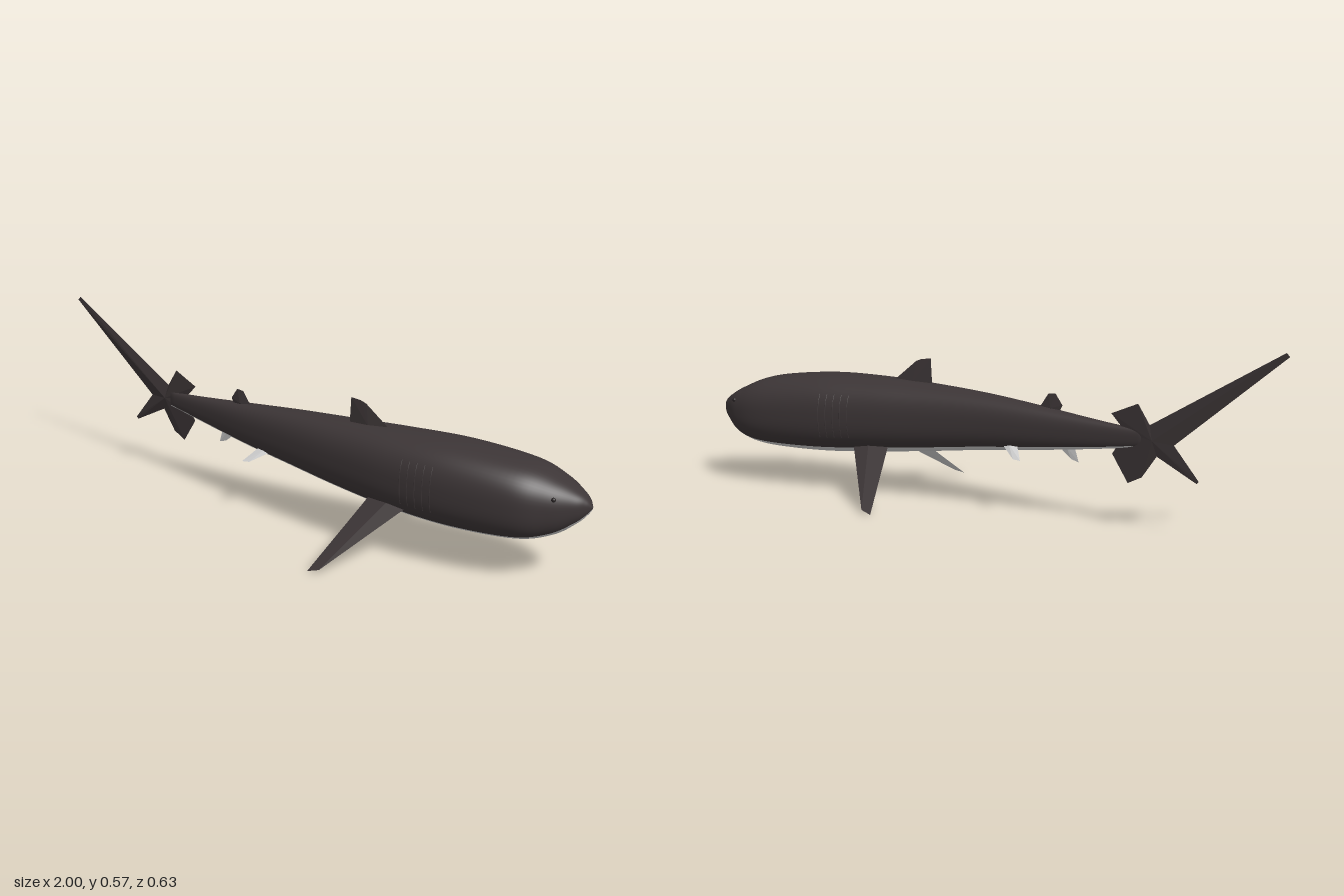
import * as THREE from 'three';

const material = (name, color, side = THREE.FrontSide) => {
  const m = new THREE.MeshStandardMaterial({ color, side });
  m.name = name;
  return m;
};
const dark = material('charcoal skin', 0x3c3536);
const light = material('pale belly', 0xcfcfcf);
const black = material('dark slits', 0x282324);

// Body stations: x, top, bottom, right side z, left side z
const stations = [
  [-0.56, 0.305, 0.255, -0.085, -0.068],
  [-0.4, 0.32, 0.23, -0.086, -0.036],
  [-0.2, 0.342, 0.203, -0.088, 0.01],
  [0, 0.362, 0.18, -0.093, 0.05],
  [0.2, 0.375, 0.155, -0.108, 0.085],
  [0.4, 0.384, 0.134, -0.132, 0.111],
  [0.6, 0.384, 0.121, -0.156, 0.114],
  [0.8, 0.362, 0.126, -0.166, 0.088],
  [0.9, 0.325, 0.152, -0.148, 0.036],
  [0.96, 0.292, 0.195, -0.112, -0.012],
  [0.985, 0.272, 0.222, -0.09, -0.04],
  [1, 0.25, 0.246, -0.067, -0.063],
];
const last = stations.length - 1;
const curveOf = (a, b) => new THREE.CatmullRomCurve3(
  stations.map((s) => new THREE.Vector3(s[0], s[a], s[b])), false, 'catmullrom', 0.5);
const heights = curveOf(1, 2);
const widths = curveOf(3, 4);

// Point on the skin: station number and angle, from the belly (0) round the left side
function skin(station, angle) {
  const h = heights.getPoint(station / last);
  const w = widths.getPoint(station / last);
  const soft = (v) => Math.sign(v) * Math.abs(v) ** 0.8;
  return new THREE.Vector3(
    h.x,
    (h.y + h.z) / 2 - soft(Math.cos(angle)) * (h.y - h.z) / 2,
    (w.y + w.z) / 2 + soft(Math.sin(angle)) * (w.z - w.y) / 2);
}

// Body loft with the belly and the back as two material groups
function makeBody() {
  const rows = 88, bellySteps = 14, backSteps = 42, around = bellySteps + backSteps;
  const edge = THREE.MathUtils.degToRad(41);
  const angleAt = (j) => (j <= bellySteps
    ? -edge + (2 * edge * j) / bellySteps
    : edge + ((2 * Math.PI - 2 * edge) * (j - bellySteps)) / backSteps);
  const points = [];
  for (let i = 0; i <= rows; i++) {
    for (let j = 0; j < around; j++) points.push(skin((i / rows) * last, angleAt(j)));
  }
  const belly = [], back = [];
  for (let i = 0; i < rows; i++) {
    for (let j = 0; j < around; j++) {
      const k = (j + 1) % around;
      const a = i * around + j, b = i * around + k;
      (j < bellySteps ? belly : back).push(a, a + around, b, b, a + around, b + around);
    }
  }
  // Tail end cap
  const centre = points.length;
  points.push(new THREE.Vector3(-0.562, 0.28, -0.0765));
  for (let j = 0; j < around; j++) back.push(centre, j, (j + 1) % around);

  const geometry = new THREE.BufferGeometry().setFromPoints(points);
  geometry.setIndex([...belly, ...back]);
  geometry.addGroup(0, belly.length, 0);
  geometry.addGroup(belly.length, back.length, 1);
  geometry.computeVertexNormals();
  const mesh = new THREE.Mesh(geometry, [light, dark]);
  mesh.name = 'body';
  return mesh;
}

// Fin: sharp outline, thickest at its core; the upward face may differ from the lower one
function makeFin(name, outline, core, thickness, upper, lower = upper) {
  const pts = outline.map((p) => new THREE.Vector3(...p));
  const c = new THREE.Vector3(...core);
  const normal = new THREE.Vector3();
  pts.forEach((p, i) => {
    const q = pts[(i + 1) % pts.length];
    normal.add(p.clone().sub(c).cross(q.clone().sub(c)));
  });
  normal.normalize();
  const front = c.clone().addScaledVector(normal, thickness / 2);
  const rear = c.clone().addScaledVector(normal, -thickness / 2);
  const a = [], b = [];
  pts.forEach((p, i) => {
    const q = pts[(i + 1) % pts.length];
    a.push(front, p, q);
    b.push(rear, q, p);
  });
  const geometry = new THREE.BufferGeometry().setFromPoints([...a, ...b]);
  geometry.addGroup(0, a.length, 0);
  geometry.addGroup(a.length, b.length, 1);
  geometry.computeVertexNormals();
  const mesh = new THREE.Mesh(geometry, normal.y >= 0 ? [upper, lower] : [lower, upper]);
  mesh.name = name;
  return mesh;
}

export function createModel() {
  const model = new THREE.Group();
  model.name = 'shark';
  model.add(makeBody());

  // Fins on the back
  model.add(makeFin('dorsalFin',
    [[0.36, 0.365, -0.005], [0.34, 0.386, -0.004], [0.27, 0.445, 0], [0.25, 0.453, 0], [0.215, 0.457, 0],
      [0.21, 0.36, 0]],
    [0.28, 0.375, -0.003], 0.016, dark));
  model.add(makeFin('rearDorsalFin',
    [[-0.19, 0.33, -0.036], [-0.225, 0.383, -0.037], [-0.25, 0.386, -0.038], [-0.275, 0.35, -0.04],
      [-0.26, 0.32, -0.04]],
    [-0.235, 0.34, -0.037], 0.012, dark));

  // Paired fins
  for (const s of [1, -1]) {
    const side = s > 0 ? 'left' : 'right';
    model.add(makeFin(side + 'PectoralFin',
      [[0.49, 0.192, s * 0.06], [0.455, 0.163, s * 0.1], [0.297, 0.01, s * 0.308], [0.26, 0, s * 0.316],
        [0.325, 0.163, s * 0.1], [0.335, 0.192, s * 0.06]],
      [0.4, 0.17, s * 0.09], 0.016, dark, light));
    const z = (d) => -0.03 + s * d;
    model.add(makeFin(side + 'PelvicFin',
      [[-0.07, 0.22, z(0.03)], [-0.14, 0.18, z(0.083)], [-0.166, 0.178, z(0.086)], [-0.13, 0.22, z(0.035)]],
      [-0.105, 0.215, z(0.04)], 0.008, light));
  }
  model.add(makeFin('analFin',
    [[-0.26, 0.225, -0.042], [-0.31, 0.186, -0.05], [-0.337, 0.178, -0.052], [-0.32, 0.235, -0.052]],
    [-0.295, 0.225, -0.047], 0.008, light));

  // Tail fin: long upper lobe, short lower lobe and two forward flaps
  const tail = [[-0.99, 0.574], [-0.58, 0.325], [-0.54, 0.386], [-0.45, 0.347], [-0.5, 0.295],
    [-0.455, 0.222], [-0.51, 0.138], [-0.557, 0.162], [-0.605, 0.232], [-0.735, 0.165],
    [-0.742, 0.172], [-0.66, 0.272], [-1, 0.563]];
  const tailZ = (x) => -0.108 + 0.17 * (x + 1) ** 2 * 0.75;
  model.add(makeFin('tailFin', tail.map(([x, y]) => [x, y, Math.min(tailZ(x), -0.07)]),
    [-0.59, 0.278, -0.083], 0.016, dark));

  // Gill slits and eyes on both sides
  for (const s of [1, -1]) {
    const side = s > 0 ? 'left' : 'right';
    for (let i = 0; i < 5; i++) {
      const path = [65, 80, 95, 110, 122].map(
        (d) => skin(5.28 + i * 0.13, s * THREE.MathUtils.degToRad(d)));
      const gill = new THREE.Mesh(
        new THREE.TubeGeometry(new THREE.CatmullRomCurve3(path), 16, 0.0015, 6), dark);
      gill.name = side + 'GillSlit' + (i + 1);
      model.add(gill);
    }
    const eye = new THREE.Mesh(new THREE.SphereGeometry(0.007, 16, 12), black);
    eye.position.copy(skin(8.15, s * THREE.MathUtils.degToRad(118)));
    eye.name = side + 'Eye';
    model.add(eye);
  }
  return model;
}
